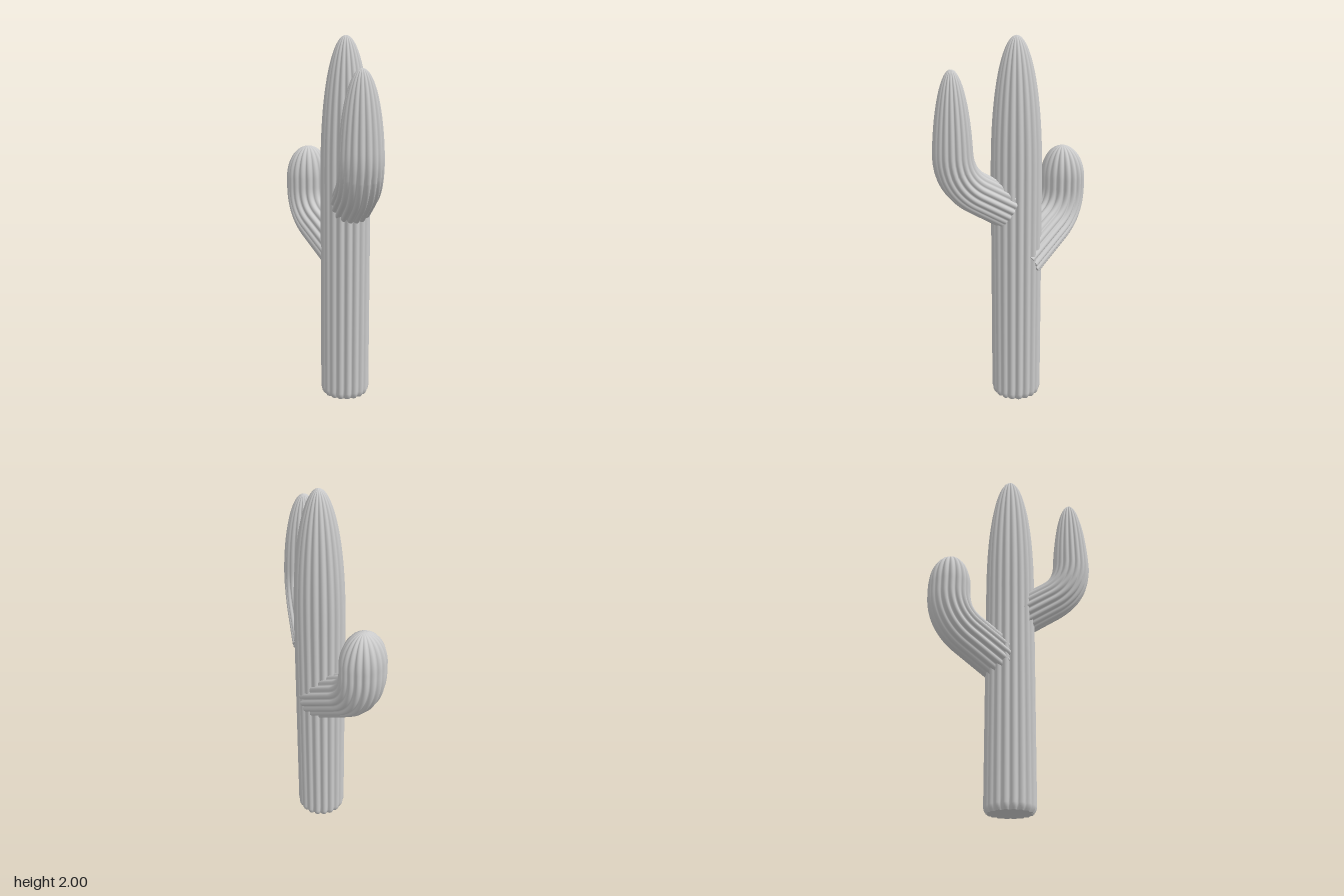
import * as THREE from 'three';

const RIBS = 18;
const SEGMENTS = RIBS * 8;
const material = new THREE.MeshStandardMaterial({ color: 0xcccccc });

// Ribbed stem swept along a path, with a flat start and a domed tip.
// radius: rib radius; dome: length of the tapering tip; power: dome fullness;
// squash: [start, end] width ratio in the bend plane; foot: rounding at the start
function stem(name, path, side, { radius, dome, power, squash = [1, 1], foot = 0 }) {
  const length = path.getLength();
  const stations = [];
  for (let i = 0; i <= 4; i++) stations.push(0.035 * i / 4);
  for (let i = 1; i <= 44; i++) stations.push(0.035 + (length - dome - 0.035) * i / 44);
  for (let i = 1; i <= 28; i++) stations.push(length - dome + dome * Math.sin(i / 28 * Math.PI / 2));

  const positions = [], indices = [];
  const addRing = (s) => {
    const t = Math.min(s / length, 1);
    const center = path.getPointAt(t);
    const normal = side.clone().cross(path.getTangentAt(t));
    const u = Math.max(0, (s - length + dome) / dome);
    const f = Math.max(0, 1 - s / 0.035);
    const r = radius * Math.sqrt(Math.max(0, 1 - u ** power)) * (1 - foot * f * f);
    const flat = THREE.MathUtils.lerp(squash[0], squash[1], t);
    for (let j = 0; j <= SEGMENTS; j++) {
      const a = j / SEGMENTS * Math.PI * 2;
      const rib = r * (0.885 + 0.115 * Math.abs(Math.sin(a * RIBS / 2)) ** 0.9);
      const p = center.clone()
        .addScaledVector(normal, Math.cos(a) * rib * flat)
        .addScaledVector(side, Math.sin(a) * rib);
      positions.push(p.x, p.y, p.z);
    }
  };

  // Skin
  const row = SEGMENTS + 1;
  stations.forEach(addRing);
  for (let i = 0; i < stations.length - 1; i++) {
    for (let j = 0; j < SEGMENTS; j++) {
      const a = i * row + j, b = a + 1, c = a + row, d = c + 1;
      indices.push(a, b, d, a, d, c);
    }
  }

  // Flat end
  const base = positions.length / 3;
  addRing(0);
  const middle = positions.length / 3;
  positions.push(...path.getPointAt(0).toArray());
  for (let j = 0; j < SEGMENTS; j++) indices.push(middle, base + j + 1, base + j);

  const geometry = new THREE.BufferGeometry();
  geometry.setAttribute('position', new THREE.Float32BufferAttribute(positions, 3));
  geometry.setIndex(indices);
  geometry.computeVertexNormals();

  // Weld the normals across the seam
  const n = geometry.attributes.normal;
  for (let i = 0; i < stations.length; i++) {
    const a = i * row, b = a + SEGMENTS;
    const v = new THREE.Vector3().fromBufferAttribute(n, a)
      .add(new THREE.Vector3().fromBufferAttribute(n, b)).normalize();
    n.setXYZ(a, v.x, v.y, v.z);
    n.setXYZ(b, v.x, v.y, v.z);
  }
  const mesh = new THREE.Mesh(geometry, material);
  mesh.name = name;
  return mesh;
}

// Arm that rises outwards, bends at the elbow and continues straight up
function arm(name, start, elbow, top, bend, options) {
  const out = elbow.clone().sub(start).normalize();
  const up = new THREE.Vector3(0, 1, 0);
  const a = elbow.clone().addScaledVector(out, -bend);
  const b = elbow.clone().addScaledVector(up, bend);
  const path = new THREE.CurvePath();
  path.add(new THREE.LineCurve3(start, a));
  path.add(new THREE.QuadraticBezierCurve3(a, elbow, b));
  path.add(new THREE.LineCurve3(b, new THREE.Vector3(elbow.x, top, elbow.z)));
  const side = out.clone().cross(up).normalize();
  return stem(name, path, side, options);
}

export function createModel() {
  const group = new THREE.Group();
  group.name = 'cactus';
  const V = (x, y, z) => new THREE.Vector3(x, y, z);

  group.add(stem('trunk', new THREE.LineCurve3(V(0.035, 0, -0.055), V(0.035, 2, -0.055)), V(0, 0, 1),
    { radius: 0.136, dome: 0.75, power: 2.3, foot: 0.1 }));

  group.add(arm('lowerRightArm', V(0.03, 0.8, -0.07), V(-0.337, 1.01, -0.07), 1.38, 0.14,
    { radius: 0.13, dome: 0.18, power: 2, squash: [0.94, 0.86] }));

  group.add(arm('upperLeftArm', V(0.1, 1.11, -0.045), V(0.355, 1.275, 0.093), 1.845, 0.15,
    { radius: 0.118, dome: 0.52, power: 2.2, squash: [0.96, 0.84] }));

  return group;
}
